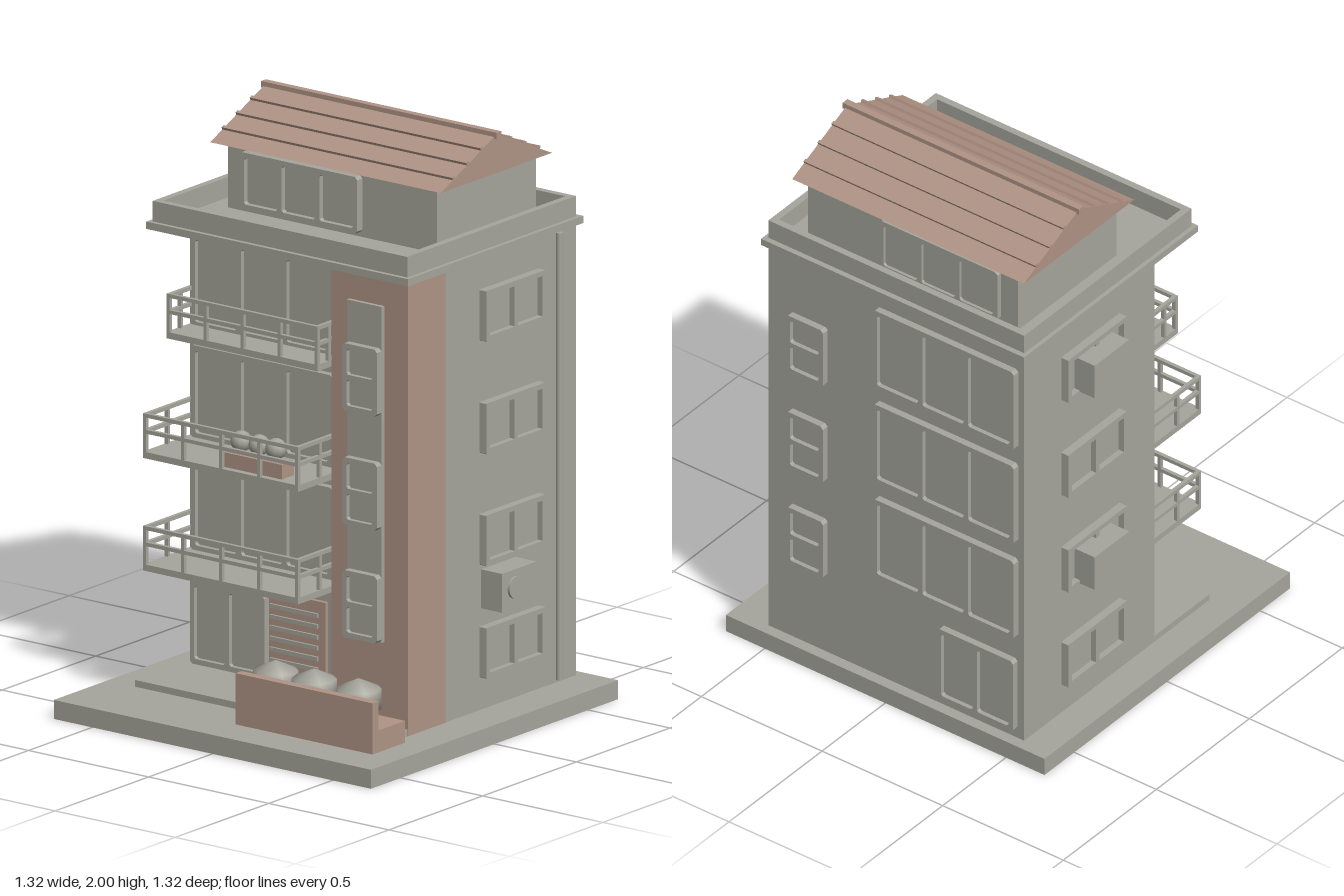
import * as THREE from 'three';

export function createModel() {
  const root = new THREE.Group();
  const stone = new THREE.MeshStandardMaterial({ color: 0xa6a59c });
  stone.name = 'warm grey';
  const clay = new THREE.MeshStandardMaterial({ color: 0xb09485 });
  clay.name = 'clay brown';

  const add = (name, geometry, material, parent = root) => {
    const mesh = new THREE.Mesh(geometry, material);
    mesh.name = name;
    parent.add(mesh);
    return mesh;
  };
  // Box given by its limits on each axis
  const box = (name, x0, x1, y0, y1, z0, z1, material = stone, parent = root) => {
    const mesh = add(name, new THREE.BoxGeometry(x1 - x0, y1 - y0, z1 - z0), material, parent);
    mesh.position.set((x0 + x1) / 2, (y0 + y1) / 2, (z0 + z1) / 2);
    return mesh;
  };
  // Rectangle with cut corners
  const cutRect = (path, x0, x1, y0, y1, c) => {
    const pts = [[x0 + c, y0], [x1 - c, y0], [x1, y0 + c], [x1, y1 - c],
      [x1 - c, y1], [x0 + c, y1], [x0, y1 - c], [x0, y0 + c]];
    path.setFromPoints(pts.map(p => new THREE.Vector2(...p)));
    path.closePath();
    return path;
  };
  // Framed window facing +z, origin at the bottom centre on the wall
  const windowUnit = (name, w, h, cols, rows, depth = 0.025, cut = 0.01) => {
    const g = new THREE.Group();
    g.name = name;
    const rim = 0.018;
    const shape = cutRect(new THREE.Shape(), -w / 2, w / 2, 0, h, cut);
    const pw = (w - rim) / cols, ph = (h - rim) / rows;
    for (let i = 0; i < cols; i++) for (let j = 0; j < rows; j++) {
      const x = -w / 2 + rim + i * pw, y = rim + j * ph;
      shape.holes.push(cutRect(new THREE.Path(), x, x + pw - rim, y, y + ph - rim, cut * 0.7));
    }
    add('windowFrame', new THREE.ExtrudeGeometry(shape, { depth, bevelEnabled: false }), stone, g);
    box('windowGlass', -w / 2 + 0.01, w / 2 - 0.01, 0.01, h - 0.01, 0, 0.009, stone, g);
    root.add(g);
    return g;
  };
  const place = (g, x, y, z, turn = 0) => {
    g.position.set(x, y, z);
    g.rotation.y = turn;
  };

  // Ground slab, entrance step, walls and stair tower
  box('groundSlab', -0.66, 0.66, 0, 0.065, -0.66, 0.66);
  box('entranceStep', -0.545, 0.515, 0.065, 0.088, 0.08, 0.375);
  box('mainWalls', -0.545, 0.515, 0.065, 1.61, -0.62, 0.08);
  box('stairTower', 0.2, 0.517, 0.065, 1.61, 0.08, 0.28, clay);
  box('towerWindowStrip', 0.275, 0.42, 0.37, 1.52, 0.28, 0.295);

  // Flat roof with cornice and parapet
  box('cornice', -0.56, 0.53, 1.61, 1.635, -0.64, 0.295);
  box('parapetFront', -0.545, 0.515, 1.635, 1.705, 0.255, 0.28);
  box('parapetBack', -0.545, 0.515, 1.635, 1.705, -0.62, -0.595);
  box('parapetLeft', 0.49, 0.515, 1.635, 1.705, -0.595, 0.255);
  box('parapetRight', -0.545, -0.52, 1.635, 1.705, -0.595, 0.255);

  // Penthouse with gabled roof
  box('penthouse', -0.45, 0.42, 1.635, 1.86, -0.53, 0);
  place(windowUnit('penthouseFrontWindow', 0.49, 0.195, 3, 1, 0.028), -0.135, 1.65, 0);
  place(windowUnit('penthouseBackWindow', 0.49, 0.195, 3, 1, 0.02), -0.135, 1.65, -0.53, Math.PI);
  const ridgeZ = -0.26, half = 0.297, eave = 1.858, rise = 0.132;
  const gable = new THREE.Shape([[-half, 0], [half, 0], [0, rise]].map(p => new THREE.Vector2(...p)));
  const roof = add('gabledRoof', new THREE.ExtrudeGeometry(gable, { depth: 0.96, bevelEnabled: false }), clay);
  roof.rotation.y = Math.PI / 2;
  roof.position.set(-0.495, eave, ridgeZ);
  const slope = Math.atan2(rise, half);
  for (const side of [-1, 1]) for (const d of [0.078, 0.153, 0.228]) {
    const batten = add('roofBatten', new THREE.BoxGeometry(0.96, 0.014, 0.012), clay);
    batten.position.set(-0.015, eave + rise * (1 - d / half) + 0.003, ridgeZ + side * d);
    batten.rotation.x = side * slope;
  }
  box('ridgeCap', -0.505, 0.475, 1.978, 2, ridgeZ - 0.013, ridgeZ + 0.013, clay);

  // Windows of the front, tower and back on three upper floors
  for (const y of [0.475, 0.86, 1.24]) {
    place(windowUnit('balconyWindow', 0.59, 0.317, 3, 1), -0.228, y, 0.08);
    place(windowUnit('backWindow', 0.585, 0.317, 3, 1), -0.228, y, -0.62, Math.PI);
  }
  for (const y of [0.372, 0.758, 1.148]) {
    place(windowUnit('towerWindow', 0.145, 0.23, 1, 2), 0.347, y, 0.295);
    place(windowUnit('backSmallWindow', 0.155, 0.23, 1, 2), 0.347, y, -0.62, Math.PI);
  }
  // Side windows on four floors
  for (const y of [0.177, 0.562, 0.945, 1.33]) {
    place(windowUnit('leftWindow', 0.315, 0.174, 2, 1, 0.03, 0.002), 0.515, y, -0.263, Math.PI / 2);
    place(windowUnit('rightWindow', 0.315, 0.174, 2, 1, 0.03, 0.002), -0.545, y, -0.263, -Math.PI / 2);
  }

  // Entrance with brown panel and slats, and back door
  box('entrancePanel', -0.53, 0.03, 0.088, 0.39, 0.08, 0.095, clay);
  place(windowUnit('entranceDoor', 0.31, 0.285, 2, 1), -0.36, 0.092, 0.095);
  for (let i = 0; i < 7; i++) {
    box('entranceSlat', -0.198, 0.002, 0.113 + i * 0.037, 0.127 + i * 0.037, 0.095, 0.103);
  }
  place(windowUnit('backDoor', 0.315, 0.285, 2, 1), -0.36, 0.1, -0.62, Math.PI);

  // Balconies with rails; the top one is shallower
  const balcony = (y, x0, x1, z1) => {
    const g = new THREE.Group();
    g.name = 'balcony';
    root.add(g);
    const t = 0.013;
    box('balconySlab', x0, x1, y, y + 0.022, 0.08, z1, stone, g);
    for (const r of [0.085, 0.14]) {
      box('frontRail', x0, x1, y + r, y + r + t, z1 - t, z1, stone, g);
      for (const x of [x0, x1 - t]) box('sideRail', x, x + t, y + r, y + r + t, 0.08, z1 - t, stone, g);
    }
    for (let i = 0; i < 5; i++) {
      const x = x0 + (x1 - x0 - t) * i / 4;
      box('railPost', x, x + t, y + 0.022, y + 0.15, z1 - t, z1, stone, g);
    }
    for (const x of [x0, x1 - t]) {
      const z = (0.08 + z1) / 2;
      box('sidePost', x, x + t, y + 0.022, y + 0.15, z, z + t, stone, g);
    }
  };
  balcony(0.455, -0.54, 0.105, 0.338);
  balcony(0.84, -0.54, 0.105, 0.338);
  balcony(1.225, -0.53, 0.098, 0.225);

  // Flower box on the middle balcony
  box('flowerBox', -0.22, 0.02, 0.862, 0.912, 0.25, 0.315, clay);
  for (const x of [-0.18, -0.105, -0.035]) {
    add('flowerBush', new THREE.SphereGeometry(0.036, 12, 8), stone).position.set(x, 0.948, 0.275);
  }

  // Planter with three shrubs
  box('planterBed', -0.015, 0.555, 0.065, 0.14, 0.343, 0.485, clay);
  box('planterFront', -0.015, 0.555, 0.065, 0.24, 0.485, 0.517, clay);
  for (const x of [0.065, 0.225, 0.41]) {
    const shrub = add('shrub', new THREE.SphereGeometry(0.0866, 10, 3), stone);
    shrub.scale.y = 0.8;
    shrub.position.set(x, 0.205, 0.405);
  }

  // Air conditioning units
  for (const y of [0.567, 1.343]) box('airUnit', -0.637, -0.545, y, y + 0.132, -0.36, -0.175);
  box('airUnit', 0.515, 0.603, 0.412, 0.545, -0.297, -0.113);
  const fan = add('airUnitFan', new THREE.CylinderGeometry(0.038, 0.038, 0.01, 16), stone);
  fan.rotation.z = Math.PI / 2;
  fan.position.set(0.607, 0.485, -0.18);

  // Drainpipe on the left wall
  add('drainpipe', new THREE.CylinderGeometry(0.012, 0.012, 1.53, 10), stone).position.set(0.535, 0.845, -0.507);

  return root;
}
